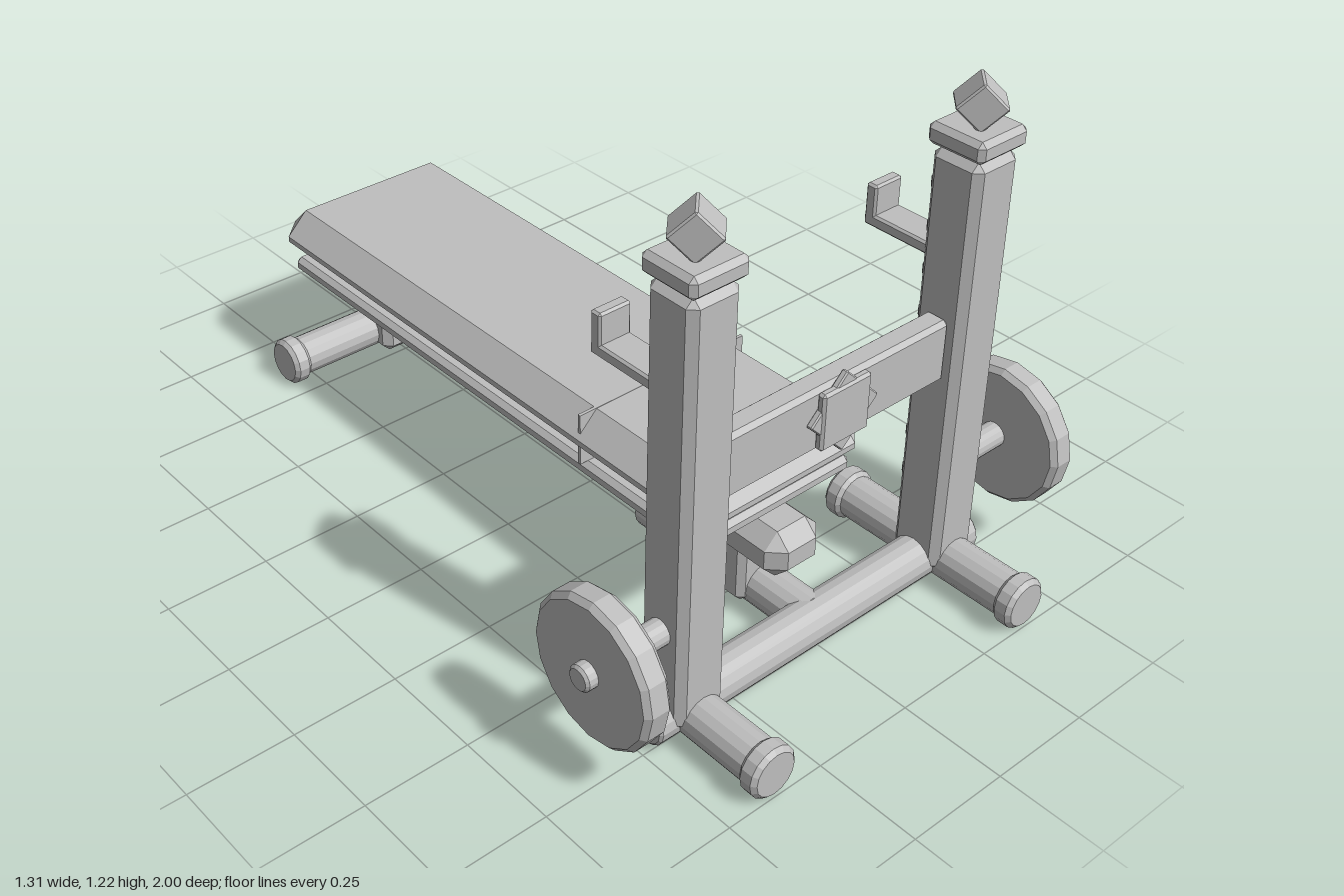
import * as THREE from 'three';
import { ConvexGeometry } from 'three/addons/geometries/ConvexGeometry.js';

const metal = new THREE.MeshStandardMaterial({ color: 0xbfbfbf, flatShading: true });
metal.name = 'plain grey';

// Box with every edge cut at 45 degrees
function chamferBox(w, h, d, c) {
  const points = [];
  const x = w / 2, y = h / 2, z = d / 2;
  for (const i of [-1, 1]) for (const j of [-1, 1]) for (const k of [-1, 1]) {
    points.push(
      new THREE.Vector3(i * x, j * (y - c), k * (z - c)),
      new THREE.Vector3(i * (x - c), j * y, k * (z - c)),
      new THREE.Vector3(i * (x - c), j * (y - c), k * z));
  }
  return new ConvexGeometry(points);
}

// Solid rod centred on its middle, with chamfered rims, along the x or z axis
function rod(axis, radius, length, c = 0.006, sides = 16) {
  const h = length / 2;
  const profile = [[0, -h], [radius - c, -h], [radius, -h + c], [radius, h - c], [radius - c, h], [0, h]];
  const geometry = new THREE.LatheGeometry(profile.map(p => new THREE.Vector2(...p)), sides);
  if (axis === 'x') geometry.rotateZ(Math.PI / 2);
  if (axis === 'z') geometry.rotateX(Math.PI / 2);
  return geometry;
}

function add(parent, name, geometry, x, y, z) {
  const mesh = new THREE.Mesh(geometry, metal);
  mesh.name = name;
  mesh.position.set(x, y, z);
  parent.add(mesh);
  return mesh;
}

// Eight-pointed plate made of two crossed squares
function addStar(parent, name, y, z, facing) {
  const star = new THREE.Group();
  star.name = name;
  star.position.set(0, y, z);
  add(star, 'starSquare', chamferBox(0.136, 0.136, 0.022, 0.006), 0, 0, facing * 0.002);
  add(star, 'starDiamond', chamferBox(0.136, 0.136, 0.016, 0.003), 0, 0, 0).rotation.z = Math.PI / 4;
  parent.add(star);
}

export function createModel() {
  const model = new THREE.Group();
  model.name = 'weightBench';
  const postX = 0.379, postZ = 0.73;

  // Padded bench, its backing board and the seam band
  add(model, 'benchPad', chamferBox(0.5, 0.126, 1.57, 0.056), 0, 0.379, -0.143);
  add(model, 'padSeam', new THREE.BoxGeometry(0.48, 0.128, 0.008), 0, 0.379, 0.245);
  add(model, 'benchBoard', chamferBox(0.46, 0.04, 1.49, 0.012), 0, 0.295, -0.14);

  // Spine beam and its supports
  add(model, 'spineBeam', chamferBox(0.154, 0.118, 1.66, 0.036), 0, 0.215, -0.142);
  add(model, 'frontSupport', chamferBox(0.136, 0.17, 0.12, 0.015), 0, 0.125, 0.52);
  add(model, 'rearSupport', chamferBox(0.136, 0.19, 0.125, 0.02), 0, 0.115, -0.797);
  addStar(model, 'rearStar', 0.215, -0.986, -1);

  // Base tubes
  add(model, 'frontCrossTube', rod('x', 0.052, 0.96), 0, 0.065, postZ);
  add(model, 'centreTube', rod('z', 0.052, 0.52), 0, 0.066, 0.473);
  add(model, 'rearFoot', rod('x', 0.05, 0.6), 0, 0.066, -0.82);

  // Cross beam between the posts
  add(model, 'postBeam', chamferBox(0.64, 0.15, 0.06, 0.01), 0, 0.628, postZ);
  addStar(model, 'frontStar', 0.63, 0.767, 1);

  for (const side of [-1, 1]) {
    const x = side * postX;
    const frame = new THREE.Group();
    frame.name = side > 0 ? 'leftUpright' : 'rightUpright';
    model.add(frame);

    // Post, cap and tilted cube finial
    add(frame, 'post', chamferBox(0.128, 1.02, 0.128, 0.018), x, 0.56, postZ);
    add(frame, 'postCap', chamferBox(0.144, 0.05, 0.144, 0.012), x, 1.1, postZ);
    const finial = add(frame, 'finial', chamferBox(0.077, 0.077, 0.077, 0.004), x, 1.171, postZ);
    finial.rotation.set(Math.PI / 4, Math.PI / 4, 0, 'YXZ');

    // Height pegs up the back of the post
    for (let i = 0; i < 8; i++) {
      add(frame, 'peg', chamferBox(0.07, 0.03, 0.026, 0.004), x, 0.256 + i * 0.1025, 0.665);
    }

    // Bar hook
    add(frame, 'hookArm', chamferBox(0.08, 0.029, 0.19, 0.005), x, 0.821, 0.585);
    add(frame, 'hookLip', chamferBox(0.08, 0.098, 0.029, 0.005), x, 0.856, 0.505);

    // Foot with end caps
    add(frame, 'foot', rod('z', 0.052, 0.52), x, 0.066, 0.728);
    for (const z of [0.479, 0.976]) add(frame, 'footCap', rod('z', 0.061, 0.048, 0.01), x, 0.066, z);

    // Axle and weight plate
    add(frame, 'axle', rod('x', 0.03, 0.23), side * 0.538, 0.286, postZ);
    add(frame, 'weightPlate', rod('x', 0.17, 0.066, 0.012), side * 0.593, 0.284, postZ);

    // Rear foot end cap
    add(frame, 'rearFootCap', rod('x', 0.06, 0.048, 0.01), side * 0.302, 0.066, -0.82);
  }
  return model;
}
